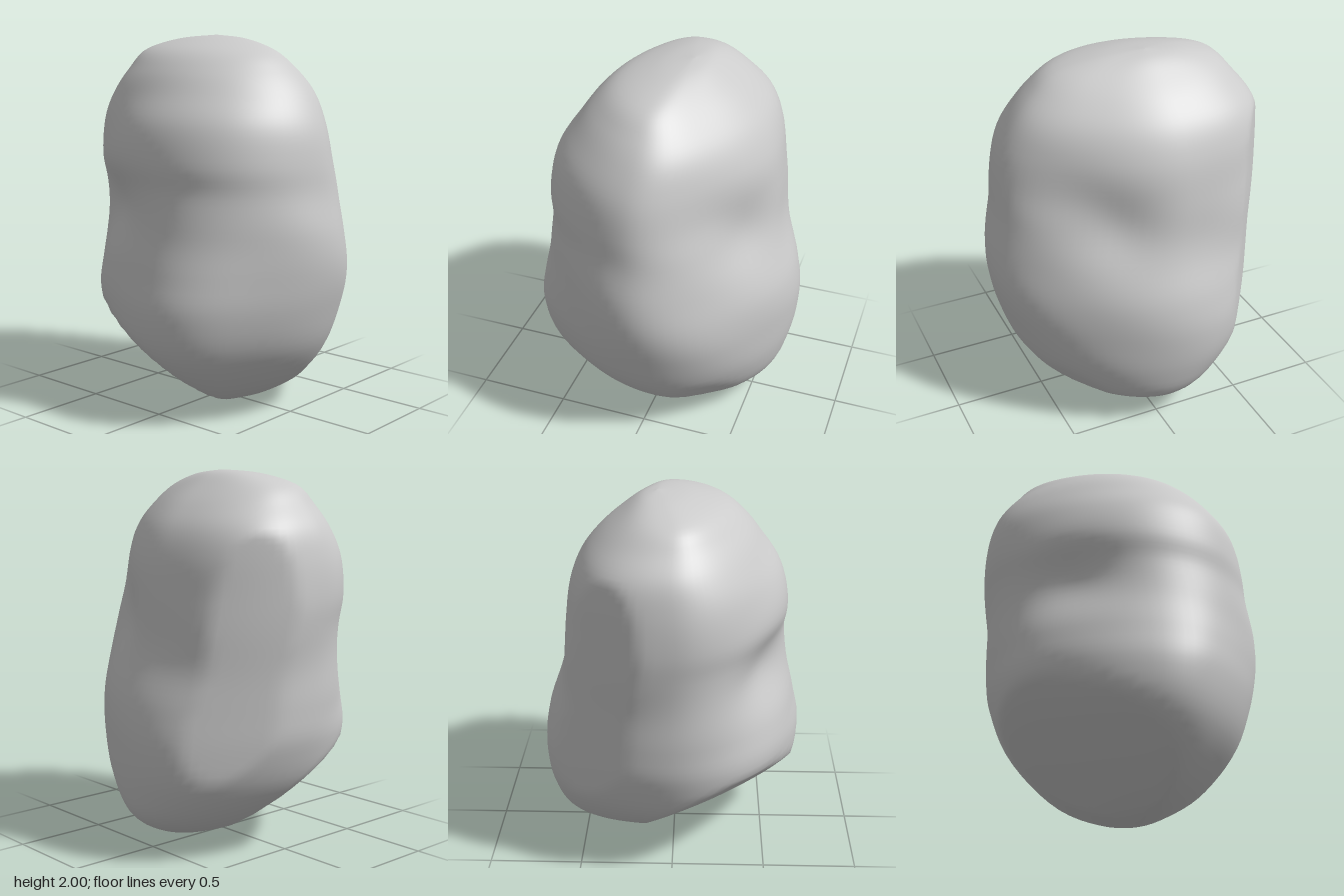
import * as THREE from 'three';

// Profile rows: height, left x, right x, back z, front z
const rows = [
  [0, 0.12, 0.14, 0.12, 0.14],
  [0.05, -0.24, 0.36, -0.12, 0.28],
  [0.17, -0.47, 0.59, -0.37, 0.46],
  [0.37, -0.65, 0.68, -0.59, 0.62],
  [0.6, -0.7, 0.7, -0.69, 0.71],
  [0.8, -0.67, 0.68, -0.71, 0.75],
  [1.0, -0.62, 0.63, -0.72, 0.75],
  [1.2, -0.61, 0.6, -0.74, 0.72],
  [1.36, -0.62, 0.57, -0.75, 0.7],
  [1.55, -0.57, 0.54, -0.74, 0.66],
  [1.7, -0.48, 0.48, -0.7, 0.59],
  [1.82, -0.39, 0.38, -0.61, 0.49],
  [1.92, -0.27, 0.26, -0.51, 0.36],
  [1.98, -0.09, 0.17, -0.32, 0.14],
  [2.0, 0.07, 0.09, -0.11, -0.09],
];

// Corner fullness of the plan, low and high on the stone:
// front +x, front -x, back -x, back +x
const cornersLow = [0.98, 0.92, 1.01, 0.99];
const cornersHigh = [0.91, 0.98, 0.97, 1.05];

// Hollows around the waist: centre, extents, depth
const dents = [
  { c: [0.52, 1.2, 0.22], s: [0.3, 0.18, 0.22], d: 0.045 },
  { c: [0.58, 1.15, -0.2], s: [0.3, 0.18, 0.25], d: 0.03 },
  { c: [-0.48, 1.12, -0.36], s: [0.3, 0.16, 0.28], d: 0.055 },
  { c: [-0.5, 1.25, 0.35], s: [0.25, 0.18, 0.25], d: 0.015 },
];

// Flat faces worn onto the underside and the back: normal and offset
const facets = [
  { n: new THREE.Vector3(-0.44, -0.78, -0.44).normalize(), d: -0.04 },
  { n: new THREE.Vector3(0.45, -0.6, 0.66).normalize(), d: 0.27 },
  { n: new THREE.Vector3(0.6, 0, -0.8), d: 0.69 },
];

// Smooth interpolation through the profile rows
function sampleRow(u) {
  const f = u * (rows.length - 1);
  const i = Math.min(Math.floor(f), rows.length - 2);
  const t = f - i;
  const at = (k) => rows[THREE.MathUtils.clamp(k, 0, rows.length - 1)];
  return rows[0].map((_, c) => {
    const [a, b, e, g] = [at(i - 1)[c], at(i)[c], at(i + 1)[c], at(i + 2)[c]];
    return b + 0.5 * t * (e - a + t * (2 * a - 5 * b + 4 * e - g + t * (3 * (b - e) + g - a)));
  });
}

function surfacePoint(u, angle) {
  const [y, xl, xr, zb, zf] = sampleRow(u);
  const q = Math.floor(angle / (Math.PI / 2)) % 4;
  const high = THREE.MathUtils.smoothstep(y, 0.6, 1.4);
  const k = THREE.MathUtils.lerp(cornersLow[q], cornersHigh[q], high);
  const r = 1 - (1 - k) * Math.sin(2 * angle) ** 2;
  const halfX = (xr - xl) / 2;
  const cos = Math.cos(angle);
  const p = new THREE.Vector3(
    (xl + xr) / 2 + r * cos * halfX,
    y,
    // The plan is skewed: its +x side lies further back, its -x side further forward
    (zb + zf) / 2 + (r * Math.sin(angle) * (zf - zb)) / 2 - 0.17 * halfX * cos * Math.abs(cos)
  );
  // Press in the hollows, towards the vertical axis
  const out = new THREE.Vector3(p.x, 0, p.z).normalize();
  let push = 0;
  for (const { c, s, d } of dents) {
    const e = ((p.x - c[0]) / s[0]) ** 2 + ((p.y - c[1]) / s[1]) ** 2 + ((p.z - c[2]) / s[2]) ** 2;
    push += d * Math.exp(-e);
  }
  // Gentle lumps over the sides
  push += 0.008 * Math.sin(7 * p.x + 5 * p.y) * Math.sin(6 * p.y - 5 * p.z) * Math.sin(Math.PI * u);
  p.addScaledVector(out, -push);
  // Flatten against the facets, leaving a slight bulge
  for (const { n, d } of facets) {
    const over = p.dot(n) - d;
    if (over > 0) p.addScaledVector(n, -over * 0.75);
  }
  p.y = Math.max(p.y, 0);
  return p;
}

function stoneGeometry(levels = 72, sides = 80) {
  const positions = [];
  const index = [];
  for (let j = 0; j <= levels; j++) {
    for (let i = 0; i < sides; i++) {
      positions.push(...surfacePoint(j / levels, (i / sides) * Math.PI * 2).toArray());
    }
  }
  for (let j = 0; j < levels; j++) {
    for (let i = 0; i < sides; i++) {
      const a = j * sides + i;
      const b = j * sides + ((i + 1) % sides);
      index.push(a, a + sides, b, b, a + sides, b + sides);
    }
  }
  // Close the bottom and the top
  const top = levels * sides;
  for (let i = 1; i < sides - 1; i++) {
    index.push(0, i, i + 1, top, top + i + 1, top + i);
  }
  const geometry = new THREE.BufferGeometry();
  geometry.setAttribute('position', new THREE.Float32BufferAttribute(positions, 3));
  geometry.setIndex(index);
  geometry.computeVertexNormals();
  return geometry;
}

export function createModel() {
  const group = new THREE.Group();
  group.name = 'boulder';
  const stone = new THREE.Mesh(stoneGeometry(), new THREE.MeshStandardMaterial({ color: 0xcccccc }));
  stone.name = 'stone';
  group.add(stone);
  return group;
}
